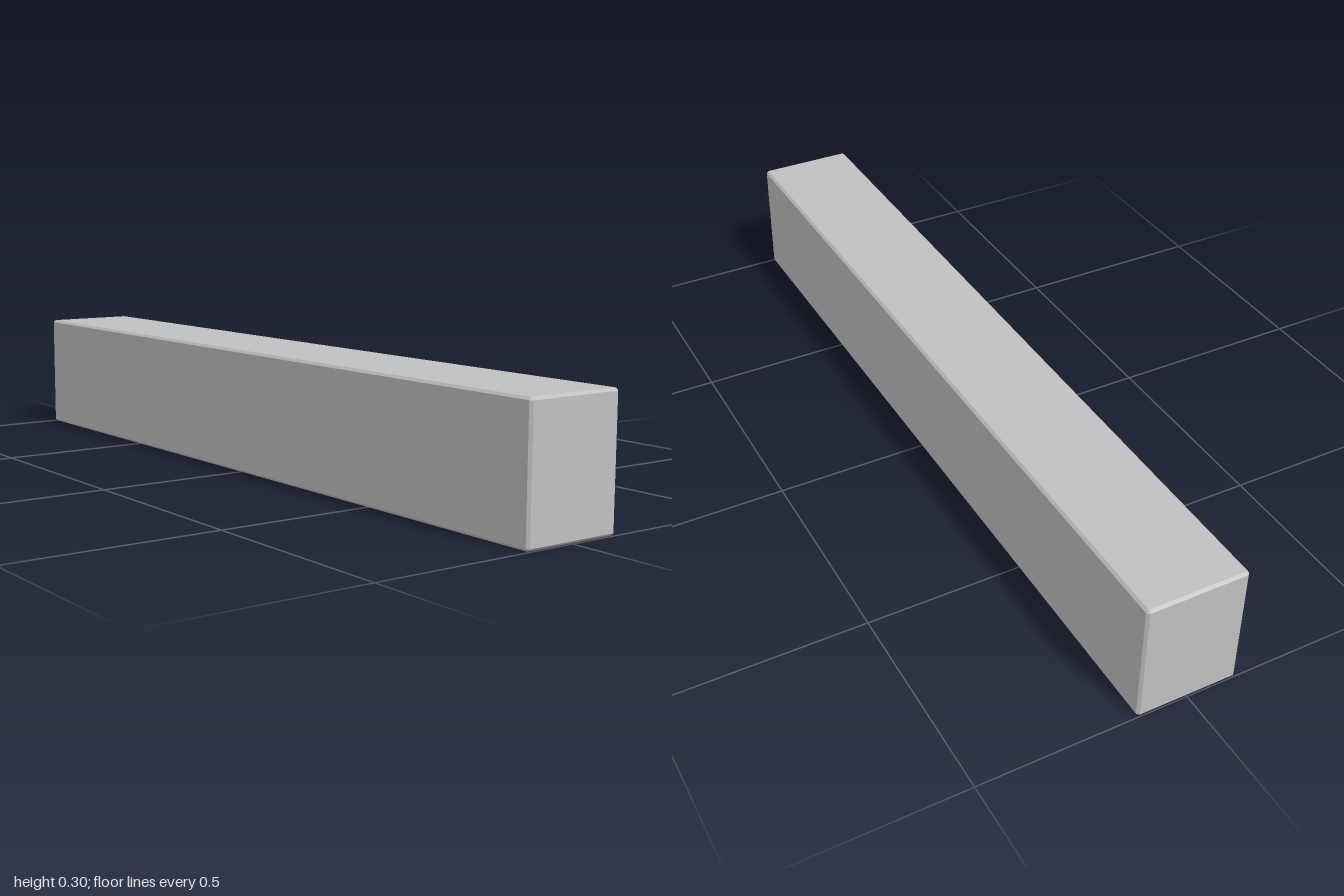
import * as THREE from 'three';

const H = 0.302, X = 1, Z = 0.1225, C = 0.006, WALL = 0.047, CEILING = 0.25;

// Rectangle with cut corners at height y, counter-clockwise from above
function ring(hx, hz, cut, y) {
  return [
    [hx, hz - cut], [hx, -hz + cut], [hx - cut, -hz], [-hx + cut, -hz],
    [-hx, -hz + cut], [-hx, hz - cut], [-hx + cut, hz], [hx - cut, hz],
  ].map(([x, z]) => new THREE.Vector3(x, y, z));
}

// Flat-shaded skin through a series of rings, capped at both ends
function skin(rings) {
  const points = [];
  const tri = (a, b, c) => {
    const area = b.clone().sub(a).cross(c.clone().sub(a)).length();
    if (area > 1e-9) points.push(a, b, c);
  };
  for (let k = 0; k + 1 < rings.length; k++) {
    const a = rings[k], b = rings[k + 1];
    for (let i = 0; i < 8; i++) {
      const j = (i + 1) % 8;
      tri(a[i], a[j], b[j]);
      tri(a[i], b[j], b[i]);
    }
  }
  const first = rings[0], last = rings[rings.length - 1];
  for (let i = 1; i < 7; i++) {
    tri(first[0], first[i + 1], first[i]);
    tri(last[0], last[i], last[i + 1]);
  }
  const geometry = new THREE.BufferGeometry().setFromPoints(points);
  geometry.computeVertexNormals();
  return geometry;
}

export function createModel() {
  const group = new THREE.Group();
  group.name = 'hollowBeam';
  const grey = new THREE.MeshStandardMaterial({ color: 0xc0c0c0, flatShading: true });
  grey.name = 'light grey';

  // Hollow shell: cavity ceiling, cavity walls, bottom rim, bevelled outside
  const shell = new THREE.Mesh(skin([
    ring(X - WALL, Z - WALL, 0, CEILING),
    ring(X - WALL, Z - WALL, 0, 0),
    ring(X - C, Z - C, 0, 0),
    ring(X, Z, C, C),
    ring(X, Z, C, H - C),
    ring(X - C, Z - C, 0, H),
  ]), grey);
  shell.name = 'shell';
  group.add(shell);

  // Row of octagonal posts inside the cavity, flush with the rim
  const postGeometry = new THREE.CylinderGeometry(0.05, 0.05, CEILING, 8);
  for (let i = -3; i <= 3; i++) {
    const post = new THREE.Mesh(postGeometry, grey);
    post.name = 'post' + (i + 4);
    post.position.set(i * 0.251, CEILING / 2, 0);
    group.add(post);
  }
  return group;
}
